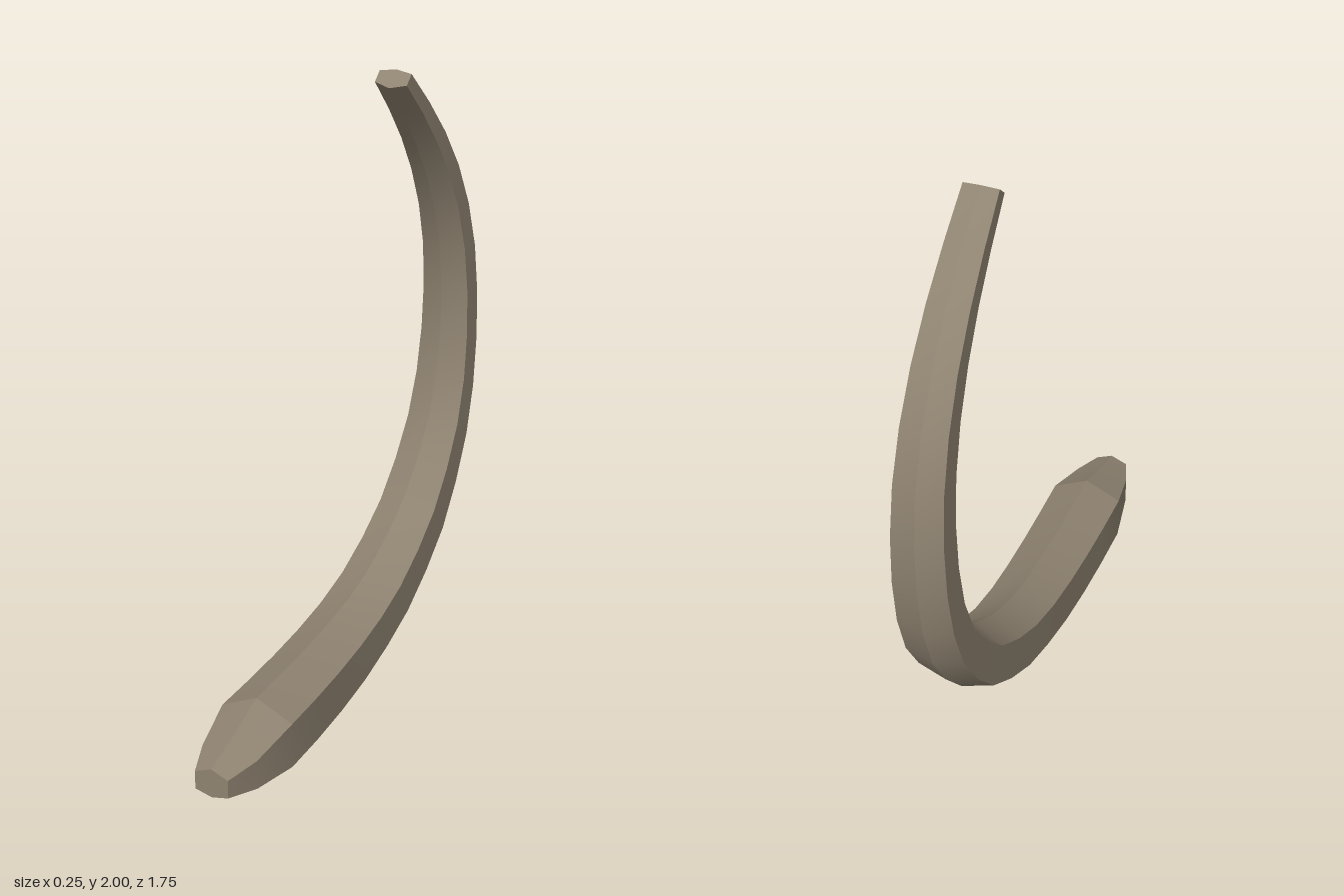
import * as THREE from 'three';
import { toCreasedNormals } from 'three/addons/utils/BufferGeometryUtils.js';

// Curve in the side plane from [z, y] pairs, sampled evenly
const sample = (pts, n) =>
  new THREE.CatmullRomCurve3(pts.map(([z, y]) => new THREE.Vector3(0, y, z))).getSpacedPoints(n);

export function createModel() {
  const group = new THREE.Group();
  const horn = new THREE.MeshStandardMaterial({ color: 0x8f8371 });
  horn.name = 'dull tan';

  // Ridge on the inside of the bend and ridge on the outside
  const steps = 18;
  const inner = sample([
    [0.6, 0.25], [0.37, 0.25], [0.13, 0.262], [-0.06, 0.287], [-0.22, 0.335], [-0.35, 0.4],
    [-0.47, 0.48], [-0.56, 0.573], [-0.64, 0.68], [-0.695, 0.8], [-0.727, 0.945], [-0.737, 1.1],
    [-0.72, 1.27], [-0.68, 1.415], [-0.615, 1.555], [-0.53, 1.69], [-0.43, 1.815], [-0.3, 1.953],
  ], steps);
  const outer = sample([
    [0.6, 0], [0.355, 0], [0.105, 0.02], [-0.09, 0.06], [-0.29, 0.122], [-0.445, 0.207],
    [-0.585, 0.308], [-0.68, 0.42], [-0.765, 0.547], [-0.822, 0.685], [-0.86, 0.84], [-0.875, 1.01],
    [-0.87, 1.18], [-0.84, 1.34], [-0.785, 1.485], [-0.71, 1.62], [-0.615, 1.745], [-0.5, 1.867], [-0.355, 2],
  ], steps);

  // Stations: blunt tapered butt, then the long tapering sweep
  const stations = [
    { a: new THREE.Vector3(0, 0.16, 0.88), b: new THREE.Vector3(0, 0.06, 0.88), w: 0.057 },
    { a: new THREE.Vector3(0, 0.19, 0.77), b: new THREE.Vector3(0, 0.03, 0.77), w: 0.095 },
  ];
  inner.forEach((a, i) => stations.push({ a, b: outer[i], w: 0.123 - 0.068 * (i / steps) ** 1.3 }));

  // Six-sided cross-section: [side, share of the way from inner to outer ridge]
  const section = [[0, 0], [1, 0.24], [1, 0.86], [0, 1], [-1, 0.86], [-1, 0.24]];
  const positions = [];
  for (const { a, b, w } of stations) {
    for (const [side, t] of section) {
      const p = a.clone().lerp(b, t);
      positions.push(side * w, p.y, p.z);
    }
  }
  const index = [];
  const last = (stations.length - 1) * 6;
  for (let r = 0; r < last; r += 6) {
    for (let i = 0; i < 6; i++) {
      const j = (i + 1) % 6;
      index.push(r + i, r + j, r + 6 + j, r + i, r + 6 + j, r + 6 + i);
    }
  }
  // End caps
  for (let i = 1; i < 5; i++) index.push(0, i + 1, i, last, last + i, last + i + 1);

  const geometry = new THREE.BufferGeometry();
  geometry.setAttribute('position', new THREE.Float32BufferAttribute(positions, 3));
  geometry.setIndex(index);
  const mesh = new THREE.Mesh(toCreasedNormals(geometry, 0.27), horn);
  mesh.name = 'curvedHorn';
  group.add(mesh);
  return group;
}
